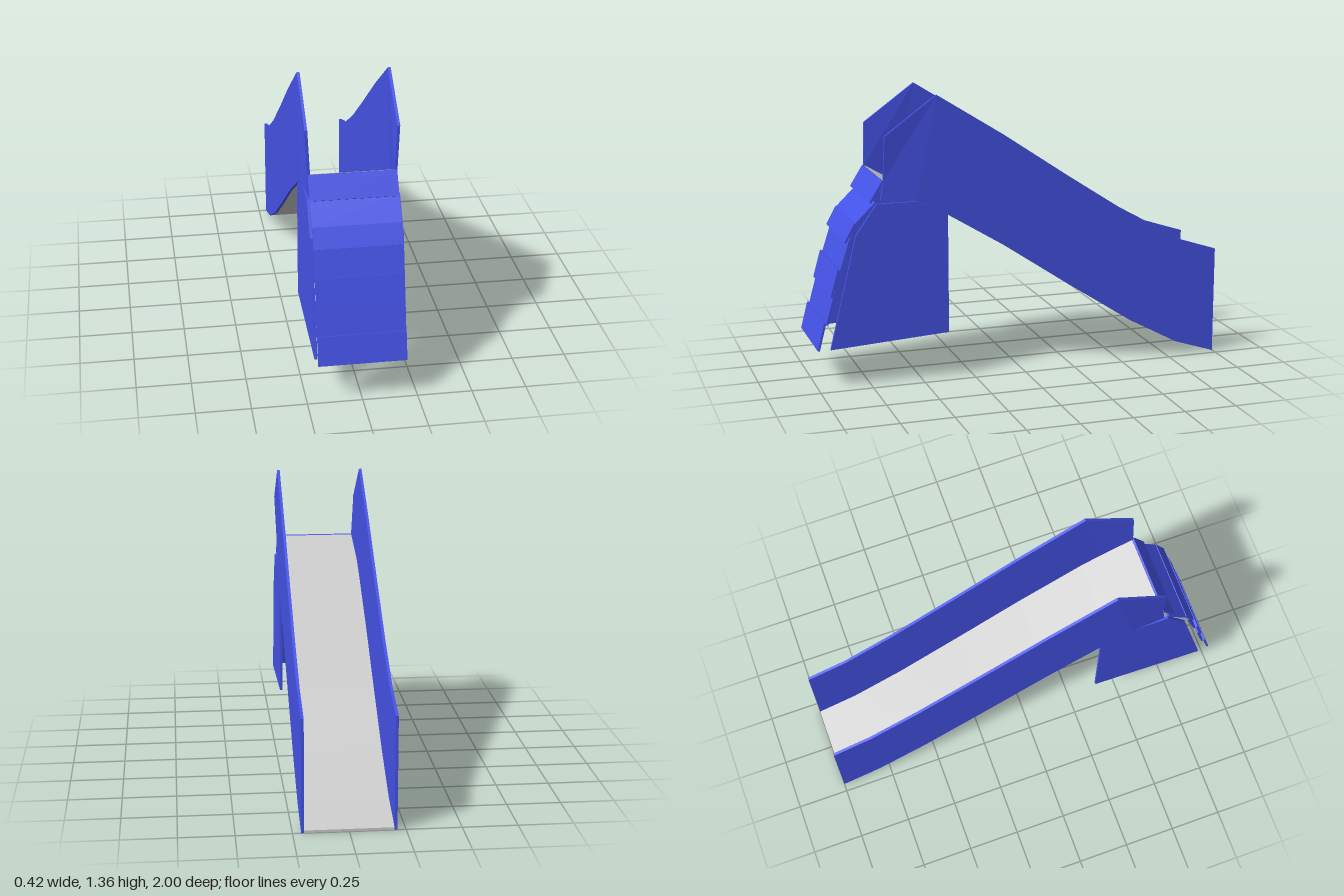
import * as THREE from 'three';

const blue = new THREE.MeshStandardMaterial({ color: 0x4553e8, flatShading: true });
const grey = new THREE.MeshStandardMaterial({ color: 0xcccccc, flatShading: true });

// Extrude a (z, y) outline across x, from x0 to x1
function plate(name, points, x0, x1, material) {
  const shape = new THREE.Shape(points.map(([z, y]) => new THREE.Vector2(-z, y)));
  const geometry = new THREE.ExtrudeGeometry(shape, { depth: x1 - x0, bevelEnabled: false });
  geometry.rotateY(Math.PI / 2).translate(x0, 0, 0);
  const mesh = new THREE.Mesh(geometry, material);
  mesh.name = name;
  return mesh;
}

export function createModel() {
  const model = new THREE.Group();
  model.name = 'slide';

  // Underside of the chute, from the bottom exit up to the top
  const run = [[-1, 0.005], [-0.8, 0.07], [-0.55, 0.205], [-0.22, 0.42], [0.1, 0.635], [0.42, 0.83], [0.52, 0.878]];

  const wallOutline = [
    ...run, [0.69, 0.883], [0.675, 0.98],
    [0.668, 1.185], [0.42, 1.365], [0.1, 1.165], [-0.22, 0.95], [-0.55, 0.735], [-0.8, 0.595], [-1, 0.53],
  ];
  const supportOutline = [[0.94, 0.195], [0.81, 0.73], [0.71, 0.873], [0.52, 0.872], [0.42, 0.835], [0.37, 0.8], [0.37, 0.23]];

  // Side walls and the support panels beneath them, mirrored
  for (const side of [1, -1]) {
    const label = side > 0 ? 'left' : 'right';
    const span = (a, b) => (side > 0 ? [a, b] : [-b, -a]);
    const wall = plate(label + 'Wall', wallOutline, ...span(0.199, 0.212), blue);
    // the front lower corner leans in towards the stairs
    const p = wall.geometry.attributes.position;
    for (let i = 0; i < p.count; i++) {
      if (p.getZ(i) > 0.6 && p.getY(i) < 1.1) p.setX(i, p.getX(i) - side * 0.01);
    }
    wall.geometry.computeVertexNormals();
    model.add(wall, plate(label + 'Support', supportOutline, ...span(0.196, 0.209), blue));
  }

  // Chute bed, a thin sheet along the underside
  const bedLine = [...run, [0.67, 0.965]];
  const bedTop = bedLine.map(([z, y]) => [z, y + 0.012]).reverse();
  model.add(plate('chuteBed', [...bedLine, ...bedTop], -0.2, 0.2, grey));

  // Stair boards: front edge at the top (z, y) and at the bottom (z, y)
  const boards = [
    [0.68, 0.98, 0.742, 0.88],
    [0.715, 0.88, 0.812, 0.785],
    [0.815, 0.787, 0.863, 0.7],
    [0.837, 0.72, 0.887, 0.565],
    [0.897, 0.575, 0.933, 0.445],
    [0.915, 0.47, 0.957, 0.315],
    [0.967, 0.322, 1.0, 0.193],
  ];
  boards.forEach(([z0, y0, z1, y1], i) => {
    const t = 0.01;
    const length = Math.hypot(z1 - z0, y1 - y0);
    const dz = ((y0 - y1) / length) * t;
    const dy = ((z1 - z0) / length) * t;
    const outline = [[z0, y0], [z1, y1], [z1 - dz, y1 - dy], [z0 - dz, y0 - dy]];
    model.add(plate('stairBoard' + (i + 1), outline, -0.2, 0.2, blue));
  });

  return model;
}
